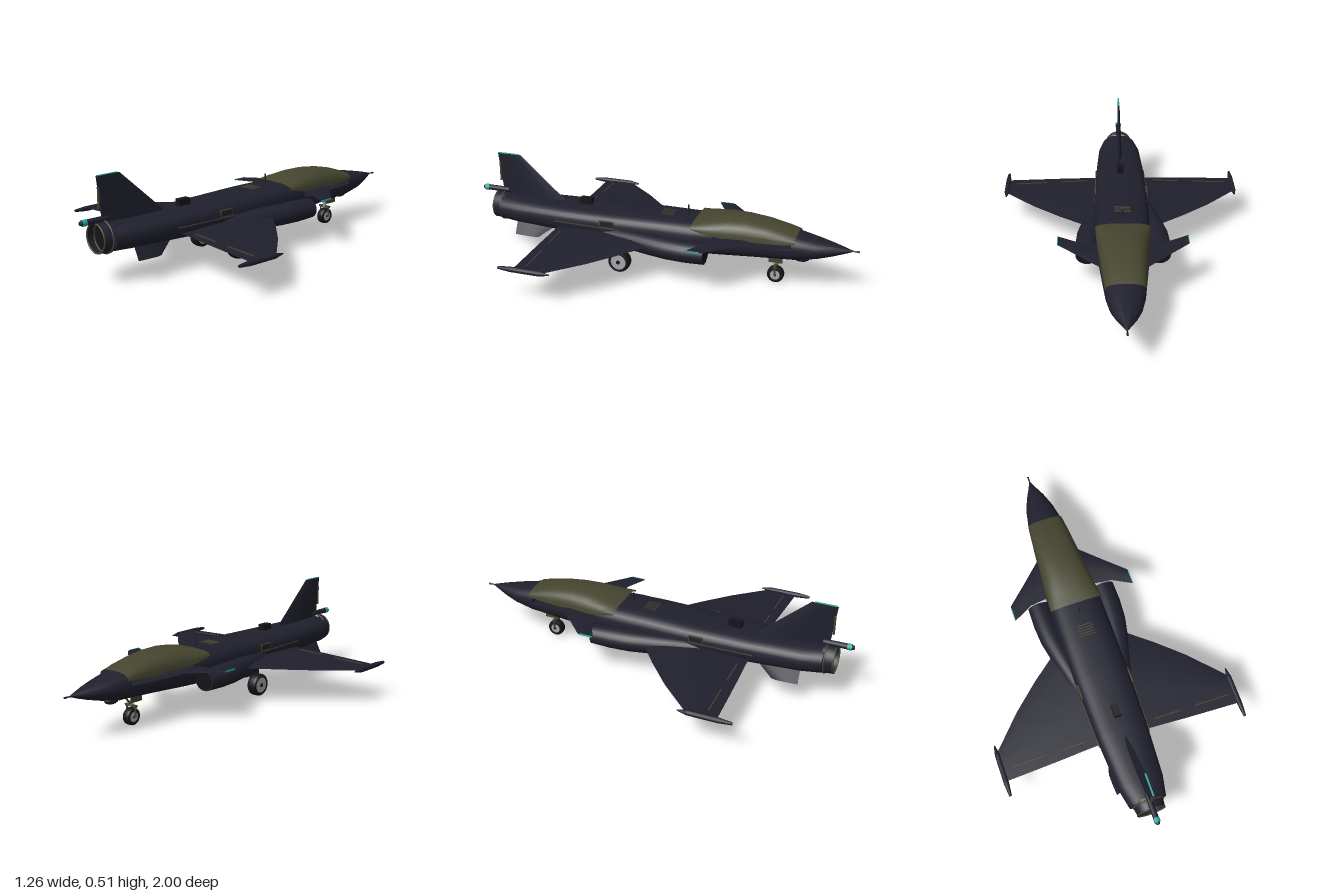
import * as THREE from 'three';
import { toCreasedNormals } from 'three/addons/utils/BufferGeometryUtils.js';

const mat = (name, color, side = THREE.FrontSide) => {
  const m = new THREE.MeshStandardMaterial({ color, side });
  m.name = name;
  return m;
};

// Skin a list of point rings; closed rings get caps and outward winding.
function loft(rings, closed = true, crease = 0.6) {
  const n = rings[0].length, pos = [], idx = [];
  rings.forEach(r => r.forEach(p => pos.push(...p)));
  const span = closed ? n : n - 1;
  for (let i = 0; i < rings.length - 1; i++) {
    for (let j = 0; j < span; j++) {
      const a = i * n + j, b = i * n + (j + 1) % n;
      idx.push(a, b, a + n, b, b + n, a + n);
    }
  }
  if (closed) {
    [0, rings.length - 1].forEach((k, end) => {
      const c = pos.length / 3;
      for (let d = 0; d < 3; d++) pos.push(rings[k].reduce((s, p) => s + p[d], 0) / n);
      for (let j = 0; j < n; j++) {
        const a = k * n + j, b = k * n + (j + 1) % n;
        end ? idx.push(c, a, b) : idx.push(c, b, a);
      }
    });
    const v = i => new THREE.Vector3().fromArray(pos, i * 3);
    let volume = 0;
    for (let i = 0; i < idx.length; i += 3) volume += v(idx[i]).dot(v(idx[i + 1]).cross(v(idx[i + 2])));
    if (volume < 0) idx.reverse();
  }
  const g = new THREE.BufferGeometry();
  g.setAttribute('position', new THREE.Float32BufferAttribute(pos, 3));
  g.setIndex(idx);
  return toCreasedNormals(g, crease);
}

// Rounded-box ring at z, its top cut flat at the deck height.
function hullRing([z, w, bottom, top, power, deck = 9]) {
  const ring = [], cy = (bottom + top) / 2, h = (top - bottom) / 2;
  for (let i = 0; i < 32; i++) {
    const a = i / 32 * Math.PI * 2, c = Math.cos(a), s = Math.sin(a);
    const x = w * Math.sign(c) * Math.abs(c) ** (2 / power);
    const y = cy + h * Math.sign(s) * Math.abs(s) ** (2 / power);
    ring.push([x, Math.min(y, deck), z]);
  }
  return ring;
}

// Thin lens section from leading to trailing edge; place maps (thickness, z) to a point.
function foilRing(lead, trail, thick, place) {
  return [[0, 0], [0.2, 1], [0.6, 0.8], [1, 0.12], [1, -0.12], [0.6, -0.8], [0.2, -1]]
    .map(([u, t]) => place(t * thick / 2, lead + (trail - lead) * u));
}

export function createModel() {
  const jet = new THREE.Group();
  jet.name = 'jetFighter';
  const navy = mat('navy skin', 0x20202e);
  const navyOpen = mat('navy open skin', 0x20202e, THREE.DoubleSide);
  const black = mat('black', 0x141418);
  const olive = mat('olive', 0x45452f);
  const canopyOlive = mat('olive canopy', 0x45452f, THREE.DoubleSide);
  const teal = mat('teal light', 0x2aa79b);
  const gray = mat('gray metal', 0xa8a8aa);

  const add = (name, geo, material, x = 0, y = 0, z = 0) => {
    const m = new THREE.Mesh(geo, material);
    m.name = name;
    m.position.set(x, y, z);
    jet.add(m);
    return m;
  };
  const box = (name, material, w, h, d, x, y, z) => add(name, new THREE.BoxGeometry(w, h, d), material, x, y, z);
  const rodZ = (r0, r1, len, sides = 12) => new THREE.CylinderGeometry(r1, r0, len, sides).rotateX(Math.PI / 2);
  const strut = (name, material, r, a, b) => {
    const p = new THREE.Vector3(...a), q = new THREE.Vector3(...b);
    const m = add(name, new THREE.CylinderGeometry(r, r, p.distanceTo(q), 10), material);
    m.position.copy(p).lerp(q, 0.5);
    m.quaternion.setFromUnitVectors(new THREE.Vector3(0, 1, 0), q.sub(p).normalize());
  };

  // Fuselage with a cut-down cockpit section
  add('fuselage', loft([
    [-0.968, 0.003, 0.217, 0.223, 2], [-0.93, 0.02, 0.203, 0.234, 2], [-0.875, 0.047, 0.185, 0.247, 2],
    [-0.8, 0.073, 0.165, 0.262, 2.2], [-0.7, 0.092, 0.15, 0.281, 2.5], [-0.682, 0.094, 0.149, 0.284, 2.5],
    [-0.68, 0.094, 0.149, 0.284, 2.5, 0.222], [-0.5, 0.112, 0.143, 0.3, 2.8, 0.222],
    [-0.302, 0.13, 0.134, 0.3, 3, 0.222], [-0.3, 0.13, 0.134, 0.3, 3], [-0.18, 0.136, 0.13, 0.3, 3],
    [0, 0.138, 0.13, 0.298, 3.2], [0.2, 0.138, 0.136, 0.292, 3.2], [0.5, 0.13, 0.15, 0.286, 3],
    [0.77, 0.114, 0.153, 0.287, 2.5], [0.87, 0.094, 0.153, 0.289, 2.1],
  ].map(hullRing)), navy);
  add('noseProbe', rodZ(0.005, 0.002, 0.04), navy, 0, 0.22, -0.98);
  add('noseSensor', new THREE.SphereGeometry(0.03, 14, 10).scale(0.8, 0.7, 1.4), navy, 0, 0.15, -0.72);

  // Canopy shell and what sits beneath it
  const canopy = [
    [-0.7, 0.091, 0.25, 0.282], [-0.64, 0.098, 0.245, 0.303], [-0.55, 0.106, 0.243, 0.323], [-0.45, 0.115, 0.243, 0.334],
    [-0.36, 0.123, 0.246, 0.334], [-0.27, 0.131, 0.258, 0.322], [-0.19, 0.136, 0.279, 0.303],
  ].map(([z, w, bottom, top]) => Array.from({ length: 17 }, (_, i) => {
    const a = i / 16 * Math.PI, c = Math.cos(a);
    return [w * Math.sign(c) * Math.abs(c) ** 0.75, bottom + (top - bottom) * Math.sin(a) ** 0.75, z];
  }));
  add('canopy', loft(canopy, false, 0.7), canopyOlive);
  box('seatBase', olive, 0.07, 0.015, 0.07, 0, 0.229, -0.42);
  box('seatBack', black, 0.07, 0.09, 0.02, 0, 0.265, -0.375).rotation.x = 0.2;
  box('instrumentPanel', black, 0.09, 0.035, 0.02, 0, 0.238, -0.57);

  // Upper deck details
  add('antenna', new THREE.CylinderGeometry(0.003, 0.004, 0.055, 8), navy, 0, 0.323, -0.14);
  for (let i = 0; i < 5; i++) box('deckVent', olive, 0.08, 0.004, 0.005, 0, 0.298, -0.065 + i * 0.014);
  box('spineScoop', black, 0.035, 0.035, 0.065, 0.0, 0.301, 0.41);

  // Tail fin, beacon pod and exhaust
  const fin = [[0.26, 0.5, 0.885, 0.026], [0.287, 0.53, 0.88, 0.024], [0.506, 0.778, 0.906, 0.01]];
  add('tailFin', loft(fin.map(([y, a, b, t]) => foilRing(a, b, t, (d, z) => [d, y, z]))), navy);
  box('finTipLight', teal, 0.008, 0.004, 0.11, 0, 0.507, 0.846);
  box('finRearStrip', olive, 0.01, 0.1, 0.008, 0, 0.405, 0.895);
  add('tailPod', rodZ(0.014, 0.014, 0.12), navy, 0, 0.305, 0.91);
  add('tailPodLight', rodZ(0.016, 0.016, 0.022), teal, 0, 0.305, 0.978);
  add('tailPodTip', rodZ(0.013, 0.009, 0.012), navy, 0, 0.305, 0.994);
  add('nozzle', new THREE.CylinderGeometry(0.07, 0.078, 0.06, 32, 1, true).rotateX(Math.PI / 2), navyOpen, 0, 0.221, 0.89);
  add('nozzleRing', new THREE.TorusGeometry(0.069, 0.004, 8, 32), olive, 0, 0.221, 0.918);
  add('nozzleBand', new THREE.TorusGeometry(0.077, 0.004, 8, 32), olive, 0, 0.221, 0.875);
  add('exhaustDisc', new THREE.CircleGeometry(0.068, 32), black, 0, 0.221, 0.873);

  // Wheel: rounded tyre with a hub on both faces
  const wheel = (name, r, hub, w, x, z) => {
    const h = w / 2, profile = [[hub, -h * 0.9], [r * 0.87, -h], [r * 0.97, -h * 0.75], [r, -h * 0.35],
      [r, h * 0.35], [r * 0.97, h * 0.75], [r * 0.87, h], [hub, h * 0.9]];
    const tyre = new THREE.LatheGeometry(profile.map(p => new THREE.Vector2(...p)), 28).rotateZ(Math.PI / 2);
    add(name + 'Tyre', tyre, black, x, r, z);
    add(name + 'Hub', new THREE.CylinderGeometry(hub, hub, w * 0.92, 24).rotateZ(Math.PI / 2), gray, x, r, z);
    add(name + 'Axle', new THREE.CylinderGeometry(hub * 0.25, hub * 0.25, w * 1.06, 12).rotateZ(Math.PI / 2), black, x, r, z);
  };
  wheel('nose', 0.042, 0.025, 0.04, 0, -0.596);
  strut('noseLeg', gray, 0.009, [0, 0.09, -0.596], [0, 0.17, -0.585]);
  strut('noseBrace', olive, 0.005, [0, 0.1, -0.596], [0, 0.16, -0.65]);
  box('noseForkBridge', olive, 0.07, 0.01, 0.015, 0, 0.095, -0.596);

  for (const s of [1, -1]) {
    // Main wings with tip pods
    const wingY = x => 0.196 - 0.04 * x;
    const wing = [[0.1, -0.06, 0.52, 0.024], [0.206, 0.01, 0.524, 0.02], [0.32, 0.1, 0.53, 0.016],
      [0.46, 0.225, 0.535, 0.012], [0.61, 0.385, 0.54, 0.008]];
    add('wing', loft(wing.map(([x, a, b, t]) => foilRing(a, b, t, (d, z) => [s * x, wingY(x) + d, z]))), navy);
    [[0.25, 0.14], [0.485, 0.17]].forEach(([x, w]) => {
      box('flapLine', olive, w, 0.012, 0.005, s * x, wingY(x), 0.485).rotation.z = -s * 0.04;
    });
    add('wingtipPod', rodZ(0.013, 0.013, 0.15), navy, s * 0.616, 0.171, 0.475);
    add('wingtipPodNose', rodZ(0.003, 0.013, 0.05).rotateY(Math.PI).rotateY(Math.PI), navy, s * 0.616, 0.171, 0.375);
    add('wingtipPodTail', rodZ(0.013, 0.007, 0.065), navy, s * 0.616, 0.171, 0.582);

    // Canard foreplanes
    const canard = [[0.09, -0.52, -0.29, 0.016], [0.22, -0.393, -0.272, 0.011], [0.318, -0.3, -0.218, 0.006]];
    add('canard', loft(canard.map(([x, a, b, t]) => foilRing(a, b, t, (d, z) => [s * x, 0.24 + 0.03 * x + d, z]))), navy);
    box('canardTipLight', teal, 0.004, 0.007, 0.07, s * 0.318, 0.2495, -0.257);

    // Side intakes
    const duct = [[-0.28, 0.177, 0.056, 0.05], [-0.18, 0.175, 0.06, 0.054], [-0.08, 0.168, 0.06, 0.054],
      [0.02, 0.152, 0.055, 0.052], [0.14, 0.13, 0.047, 0.048], [0.32, 0.095, 0.035, 0.035]];
    add('intakeDuct', loft(duct.map(([z, x, rx, ry]) => Array.from({ length: 24 }, (_, i) => {
      const a = i / 24 * Math.PI * 2;
      return [s * x + rx * Math.cos(a), 0.178 + ry * Math.sin(a), z];
    }))), navy);
    add('intakeMouth', new THREE.CircleGeometry(1, 24).scale(0.05, 0.044, 1).rotateY(Math.PI), black, s * 0.177, 0.178, -0.282);

    // Ventral fins
    const ventral = [[0.175, 0.085, 0.55, 0.77], [0.11, 0.118, 0.64, 0.77]];
    add('ventralFin', loft(ventral.map(([y, x, a, b]) => foilRing(a, b, 0.01, (d, z) => [s * x + d, y, z]))), navy);

    // Side panels
    box('sideHatch', olive, 0.008, 0.035, 0.075, s * 0.134, 0.243, 0.25);
    box('sideHatchInset', navy, 0.008, 0.026, 0.066, s * 0.1345, 0.243, 0.25);
    box('sideLine', olive, 0.006, 0.004, 0.36, s * 0.134, 0.222, 0.36).rotation.y = -s * 0.02;

    // Landing gear
    wheel('main', 0.057, 0.04, 0.053, s * 0.138, 0.18);
    strut('mainLeg', olive, 0.009, [s * 0.1, 0.055, 0.18], [s * 0.088, 0.15, 0.18]);
    strut('mainBrace', gray, 0.006, [s * 0.1, 0.075, 0.18], [s * 0.075, 0.145, 0.25]);
    box('mainGearDoor', navy, 0.006, 0.05, 0.11, s * 0.1, 0.122, 0.18);
    strut('noseFork', olive, 0.005, [s * 0.028, 0.042, -0.596], [s * 0.028, 0.1, -0.596]);
    box('noseGearDoor', olive, 0.005, 0.035, 0.07, s * 0.038, 0.138, -0.6);
  }
  return jet;
}
